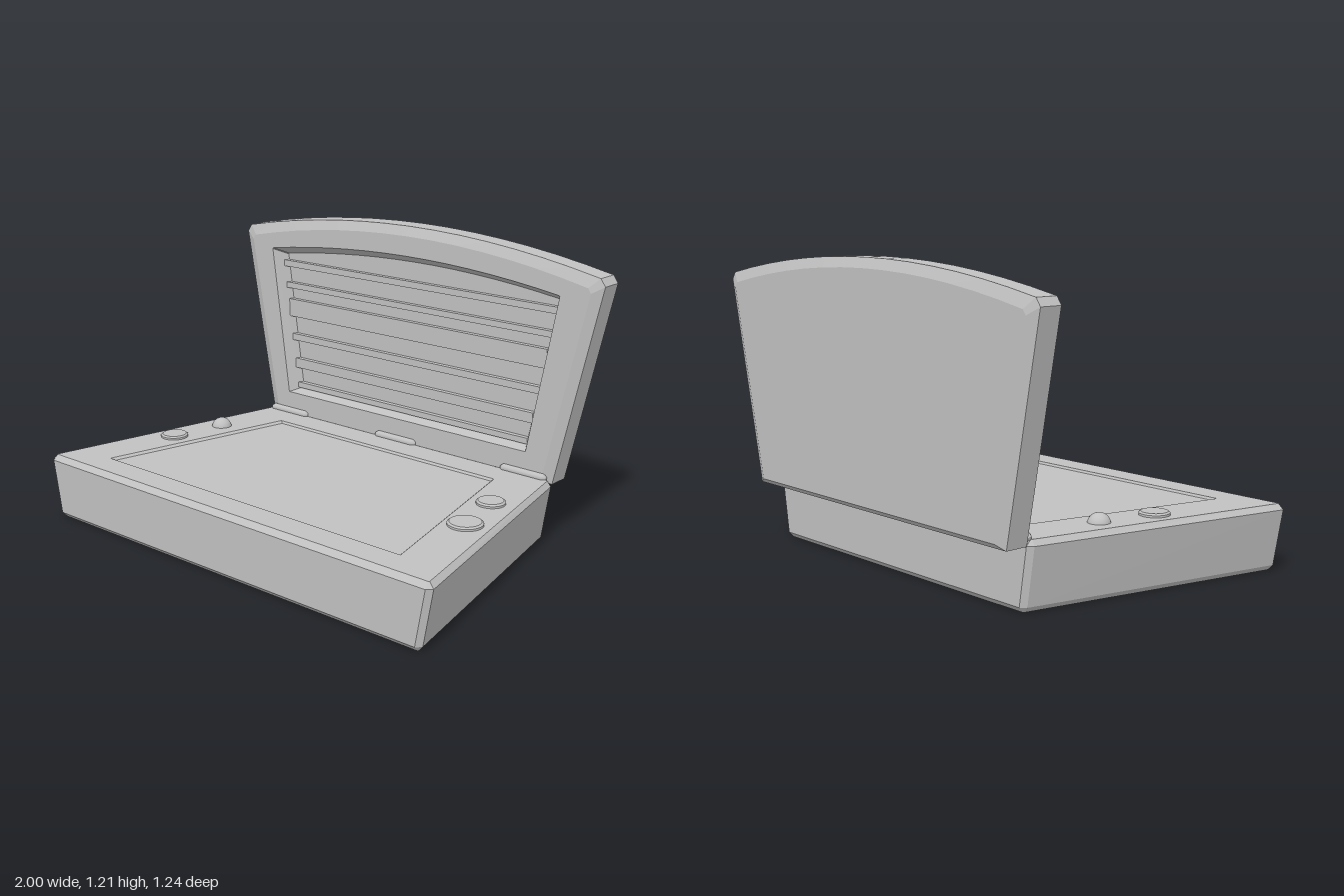
import * as THREE from 'three';

const grey = new THREE.MeshStandardMaterial({ color: 0xc0c0c0 });
grey.name = 'plain grey';

function add(group, name, geometry, x = 0, y = 0, z = 0) {
  const mesh = new THREE.Mesh(geometry, grey);
  mesh.name = name;
  mesh.position.set(x, y, z);
  group.add(mesh);
  return mesh;
}

// Skins convex rings of equal length, closing both ends; flat facets
function loft(rings) {
  const pos = [];
  const tri = (a, b, c) => pos.push(...a, ...b, ...c);
  const n = rings[0].length;
  for (let r = 0; r < rings.length - 1; r++) {
    const a = rings[r], b = rings[r + 1];
    for (let i = 0; i < n; i++) {
      const j = (i + 1) % n;
      tri(a[i], a[j], b[j]);
      tri(a[i], b[j], b[i]);
    }
  }
  const first = rings[0], last = rings[rings.length - 1];
  for (let i = 1; i < n - 1; i++) {
    tri(first[0], first[i + 1], first[i]);
    tri(last[0], last[i], last[i + 1]);
  }
  const g = new THREE.BufferGeometry();
  g.setAttribute('position', new THREE.Float32BufferAttribute(pos, 3));
  g.computeVertexNormals();
  return g;
}

// Trapezoid with clipped corners, lying flat at height y
function baseRing(y, front, back, zf, zb, c) {
  return [
    [-front + c, y, zf], [front - c, y, zf], [front, y, zf - c], [back, y, zb + c],
    [back - c, y, zb], [-back + c, y, zb], [-back, y, zb + c], [-front, y, zf - c],
  ];
}

// Upright fan-shaped outline with an arched top, at depth z
function lidRing(z, bl, br, yb, tl, tr, ys, yc, c) {
  const pts = [[bl, yb, z], [br, yb, z], [tr, ys - c, z]];
  const steps = 14, mid = (tl + tr) / 2, half = (tr - tl) / 2 - c * 0.7;
  for (let i = 0; i <= steps; i++) {
    const t = 1 - (2 * i) / steps;
    pts.push([mid + half * t, ys + (yc - ys) * (1 - t * t), z]);
  }
  pts.push([tl, ys - c, z]);
  return pts;
}

const lathe = (points, segments) =>
  new THREE.LatheGeometry(points.map(p => new THREE.Vector2(p[0], p[1])), segments);

export function createModel() {
  const model = new THREE.Group();
  model.name = 'openCase';

  // Base with bevelled edges and a shallow sunken top panel
  add(model, 'base', loft([
    baseRing(0.003, 0.94, 0.715, 0.6, -0.485, 0.004),
    baseRing(0.025, 0.96, 0.735, 0.62, -0.505, 0.02),
    baseRing(0.25, 1.0, 0.77, 0.62, -0.505, 0.02),
    baseRing(0.272, 0.98, 0.755, 0.6, -0.485, 0.004),
    baseRing(0.272, 0.77, 0.582, 0.487, -0.36, 0.002),
    baseRing(0.262, 0.758, 0.572, 0.482, -0.354, 0.002),
  ]));

  // Lid with bevelled rim and a sunken inner panel
  const lid = new THREE.Group();
  lid.name = 'lid';
  model.add(lid);
  add(lid, 'lidShell', loft([
    lidRing(-0.62, -0.715, 0.72, 0.27, -0.865, 0.9, 1.075, 1.17, 0.02),
    lidRing(-0.602, -0.755, 0.76, 0.25, -0.915, 0.95, 1.115, 1.21, 0.03),
    lidRing(-0.508, -0.755, 0.76, 0.25, -0.915, 0.95, 1.115, 1.21, 0.03),
    lidRing(-0.49, -0.715, 0.72, 0.27, -0.865, 0.9, 1.075, 1.17, 0.02),
    lidRing(-0.49, -0.65, 0.64, 0.367, -0.745, 0.765, 1.028, 1.086, 0.004),
    lidRing(-0.55, -0.612, 0.608, 0.385, -0.702, 0.735, 1.0, 1.052, 0.004),
  ]));

  // Horizontal slats across the inner panel: [bottom, top]
  const slats = [[0.385, 0.41], [0.478, 0.522], [0.606, 0.636], [0.716, 0.796], [0.846, 0.872], [0.944, 0.972]];
  for (const [y0, y1] of slats) {
    const y = (y0 + y1) / 2, t = (y - 0.385) / 0.615;
    const left = -0.624 - 0.09 * t, right = 0.62 + 0.127 * t;
    add(lid, 'slat', new THREE.BoxGeometry(right - left, y1 - y0, 0.025), (left + right) / 2, y, -0.54);
  }

  // Hinge barrels with tapered ends
  for (const x of [-0.643, -0.023, 0.635]) {
    const barrel = lathe([[0, -0.108], [0.008, -0.108], [0.017, -0.095], [0.017, 0.095], [0.008, 0.108], [0, 0.108]], 12);
    add(model, 'hinge', barrel, x, 0.277, -0.488).rotation.z = Math.PI / 2;
  }

  // Round flat buttons
  for (const [x, z, r] of [[-0.785, 0.108, 0.059], [0.725, -0.13, 0.058], [0.777, 0.11, 0.069]]) {
    const disc = lathe([[r, 0], [r, 0.008], [r, 0.008], [r - 0.008, 0.014], [r - 0.008, 0.014], [0, 0.014]], 32);
    add(model, 'button', disc, x, 0.272, z);
  }

  // Domed knob
  add(model, 'knob', new THREE.SphereGeometry(0.044, 24, 16), -0.735, 0.265, -0.133);

  return model;
}
